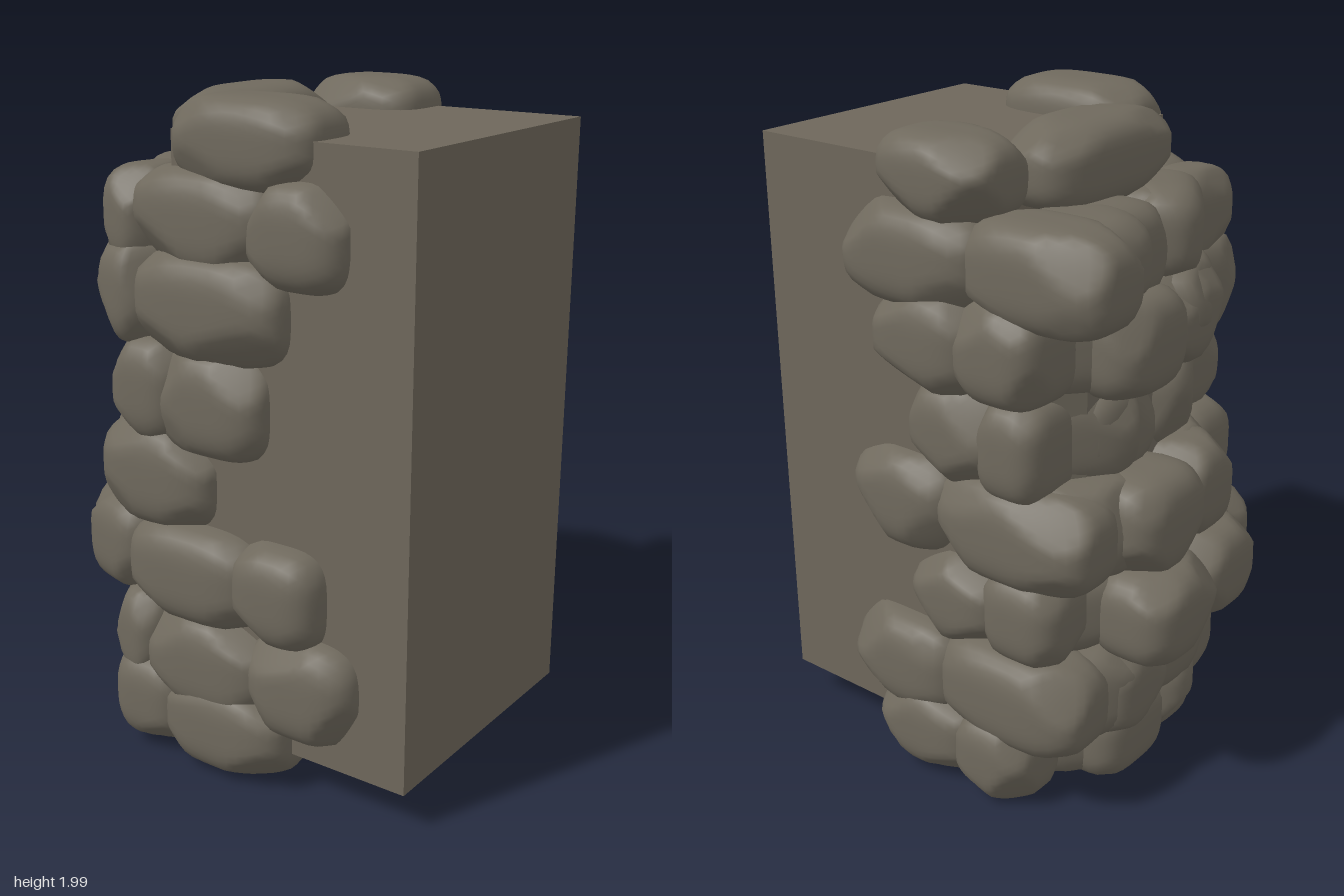
import * as THREE from 'three';
import { mergeVertices } from 'three/addons/utils/BufferGeometryUtils.js';

// Seeded random numbers
let seed = 11;
const rand = () => {
  seed = (seed * 16807) % 2147483647;
  return seed / 2147483647;
};

const wallMat = new THREE.MeshStandardMaterial({ color: 0x6e675b });
wallMat.name = 'wall grey brown';
const stoneMat = new THREE.MeshStandardMaterial({ color: 0x6f695d });
stoneMat.name = 'stone grey brown';

// Courses of stones: joints run along the front, round the left end (-x) and along the back.
// corners: how far the front and back corner stones reach from the middle
const rows = [
  { y: [0.02, 0.31], front: [0.28, -0.13, -0.36], end: -0.49, ends: [0.26, 0.03, -0.26], back: [0.25, -0.1, -0.34], zf: 0.55, zb: -0.55, corners: [0.5, 0.48] },
  { y: [0.2, 0.52], front: [0.51, 0.18, -0.2, -0.36], end: -0.53, ends: [0.26, -0.02, -0.28], back: [0.36, -0.02, -0.5], zf: 0.54, zb: -0.54, corners: [0.5, 0.57] },
  { y: [0.48, 0.78], front: [0.4, 0.14, -0.25, -0.5], end: -0.66, ends: [0.32, 0.04, -0.27], back: [0.12, -0.18, -0.42], zf: 0.55, zb: -0.52, corners: [0.6, 0.53] },
  { y: [0.74, 1.06], front: [0.02, -0.4], end: -0.6, ends: [0.26, 0.04, -0.26], back: [0.34, 0, -0.51], zf: 0.53, zb: -0.52, corners: [0.53, 0.58] },
  { y: [0.99, 1.31], front: [0.21, -0.13, -0.34], end: -0.43, ends: [0.28, 0.03, -0.27], back: [0.12, -0.17, -0.36], zf: 0.535, zb: -0.51, corners: [0.46, 0.48] },
  { y: [1.27, 1.58], front: [0.28, -0.2, -0.38], end: -0.53, ends: [0.28, 0.02, -0.27], back: [0.21, -0.12, -0.38], zf: 0.55, zb: -0.55, corners: [0.51, 0.5] },
  { y: [1.5, 1.8], front: [0.47, 0.18, -0.22, -0.36], end: -0.45, ends: [0.28, 0.03, -0.27], back: [0.33, -0.13, -0.57], zf: 0.52, zb: -0.54, corners: [0.47, 0.54] },
  { y: [1.75, 2], front: [0.36, -0.12], end: -0.31, ends: [0.27, -0.26], back: [0.19, -0.2], zf: 0.51, zb: -0.53, corners: [] },
];

// One rounded boulder: a superellipsoid with its corners hewn off by random planes
function makeStone(name, x, y, z, w, h, d, turn = 0) {
  let geo = new THREE.IcosahedronGeometry(1, 7);
  geo.deleteAttribute('normal');
  geo.deleteAttribute('uv');
  geo = mergeVertices(geo, 1e-4);

  const cuts = [];
  for (let i = 0; i < 8; i++) {
    const s = (bit) => (i & bit ? 1 : -1) * (0.35 + rand() * 0.65);
    cuts.push({ n: new THREE.Vector3(s(1), s(2), s(4)).normalize(), limit: 0.97 + rand() * 0.25 });
  }
  const pos = geo.attributes.position;
  const p = new THREE.Vector3();
  const power = 3.5;
  for (let i = 0; i < pos.count; i++) {
    p.fromBufferAttribute(pos, i);
    const sum = Math.abs(p.x) ** power + Math.abs(p.y) ** power + Math.abs(p.z) ** power;
    p.multiplyScalar(sum ** (-1 / power));
    for (const { n, limit } of cuts) {
      const over = p.dot(n) - limit;
      if (over > 0) p.addScaledVector(n, -over * 0.85);
    }
    pos.setXYZ(i, (p.x * w) / 2, (p.y * h) / 2, (p.z * d) / 2);
  }
  geo.computeVertexNormals();

  const mesh = new THREE.Mesh(geo, stoneMat);
  mesh.name = name;
  mesh.position.set(x, y, z);
  mesh.rotation.y = turn;
  return mesh;
}

// Stones along the front (side 1) or back (side -1) face
function addFace(group, joints, face, side, cy, h) {
  const depth = 0.29;
  for (let i = 0; i < joints.length - 1; i++) {
    const x1 = joints[i] + (i ? 0.04 : 0);
    const x0 = joints[i + 1] - (i < joints.length - 2 ? 0.04 : 0);
    const cx = (x0 + x1) / 2;
    // The front curves back towards the end, the back stays squarer
    const inset = (side > 0 ? 0.4 : 0.15) * Math.max(0, -0.2 - cx);
    const turn = side > 0 && cx < -0.23 ? -0.3 : 0;
    const dy = i ? (rand() - 0.5) * 0.03 : 0;
    group.add(makeStone(side > 0 ? 'frontStone' : 'backStone',
      cx, cy + dy, face - side * (depth / 2 + inset), x1 - x0, h, depth, turn));
  }
}

export function createModel() {
  seed = 11;
  const model = new THREE.Group();
  model.name = 'brokenWallEnd';

  // Plain wall block
  const wall = new THREE.Mesh(new THREE.BoxGeometry(0.78, 1.77, 0.885), wallMat);
  wall.name = 'wallBlock';
  wall.position.set(0.27, 1.015, 0.003);
  model.add(wall);

  // Rubble core that closes the joints between the stones
  const plan = new THREE.Shape([
    [-0.08, -0.44], [-0.28, -0.42], [-0.38, -0.28], [-0.39, 0.12], [-0.25, 0.41], [-0.08, 0.45],
  ].map(([x, z]) => new THREE.Vector2(x, -z)));
  const core = new THREE.Mesh(new THREE.ExtrudeGeometry(plan, { depth: 1.57, bevelEnabled: false }), stoneMat);
  core.name = 'rubbleCore';
  core.rotation.x = -Math.PI / 2;
  core.position.y = 0.13;
  model.add(core);

  rows.forEach((row, r) => {
    const course = new THREE.Group();
    course.name = 'stoneCourse' + (r + 1);
    const cy = (row.y[0] + row.y[1]) / 2;
    const h = row.y[1] - row.y[0];

    addFace(course, row.front, row.zf, 1, cy, h);
    addFace(course, row.back, row.zb, -1, cy - 0.005, h - 0.01);

    // Rounded end stones
    for (let i = 0; i < row.ends.length - 1; i++) {
      const z1 = row.ends[i] + 0.025;
      const z0 = row.ends[i + 1] - 0.025;
      const push = i === row.ends.length - 2 ? 0 : 0.045;
      const depth = 0.3;
      course.add(makeStone('endStone', row.end + push + depth / 2, cy - 0.01, (z0 + z1) / 2,
        depth, h - 0.01, z1 - z0));
    }

    // Slanted stones filling the front and back corners
    row.corners.forEach((reach, i) => {
      const angle = i ? -2.234 : -0.993;
      const dist = reach - 0.135;
      course.add(makeStone('cornerStone', Math.sin(angle) * dist, cy, Math.cos(angle) * dist,
        0.38, h - 0.02, 0.27, angle));
    });
    model.add(course);
  });

  return model;
}
